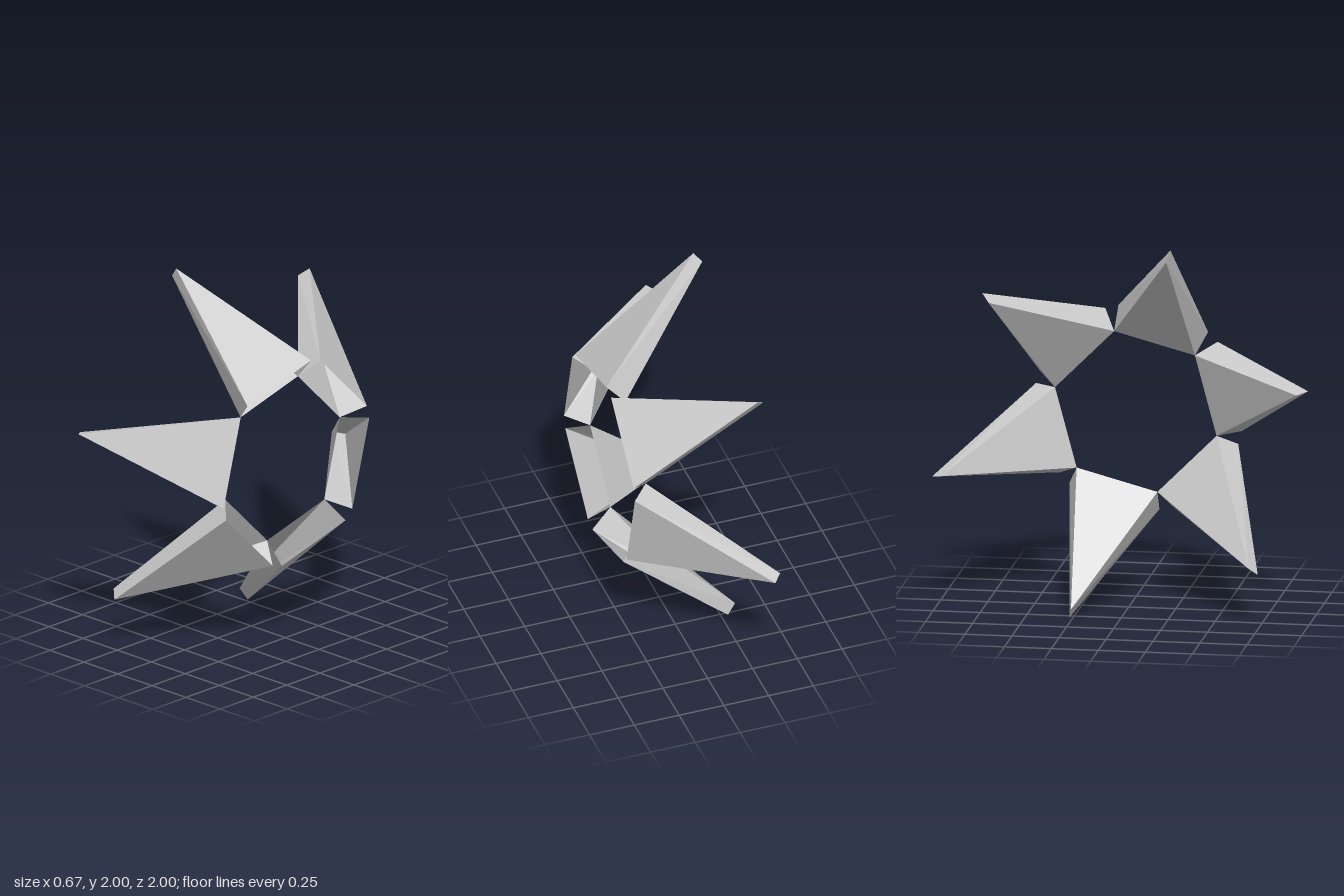
import * as THREE from 'three';

// One hollow, tapering blade: the radius runs along +z, the base end is open.
function bladeGeometry() {
  // [x, tangent, radius]: two base corners and a tip for each skin
  const outer = [[0.333, -0.247, 0.5], [0.333, 0.247, 0.5], [-0.288, 0, 1.036]];
  const inner = [[0.23, -0.2225, 0.385], [0.23, 0.2225, 0.385], [-0.333, 0, 0.979]];
  const [a, b, tip] = outer;
  const [c, d, innerTip] = inner;
  const triangles = [
    [a, b, tip], // outer skin
    [c, innerTip, d], // inner skin
    [b, d, innerTip], [b, innerTip, tip], // upper side
    [a, tip, innerTip], [a, innerTip, c], // lower side
  ];
  const geometry = new THREE.BufferGeometry();
  geometry.setAttribute('position', new THREE.Float32BufferAttribute(triangles.flat(2), 3));
  geometry.computeVertexNormals();
  return geometry;
}

export function createModel() {
  const model = new THREE.Group();
  model.name = 'bladeRing';
  const material = new THREE.MeshStandardMaterial({
    color: 0xcccccc, flatShading: true, side: THREE.DoubleSide,
  });
  const geometry = bladeGeometry();

  // Six blades spaced evenly around the x axis
  for (let i = 0; i < 6; i++) {
    const blade = new THREE.Mesh(geometry, material);
    blade.name = `blade${i + 1}`;
    blade.position.y = 1;
    blade.rotation.x = -THREE.MathUtils.degToRad(15 + 60 * i);
    model.add(blade);
  }
  return model;
}
